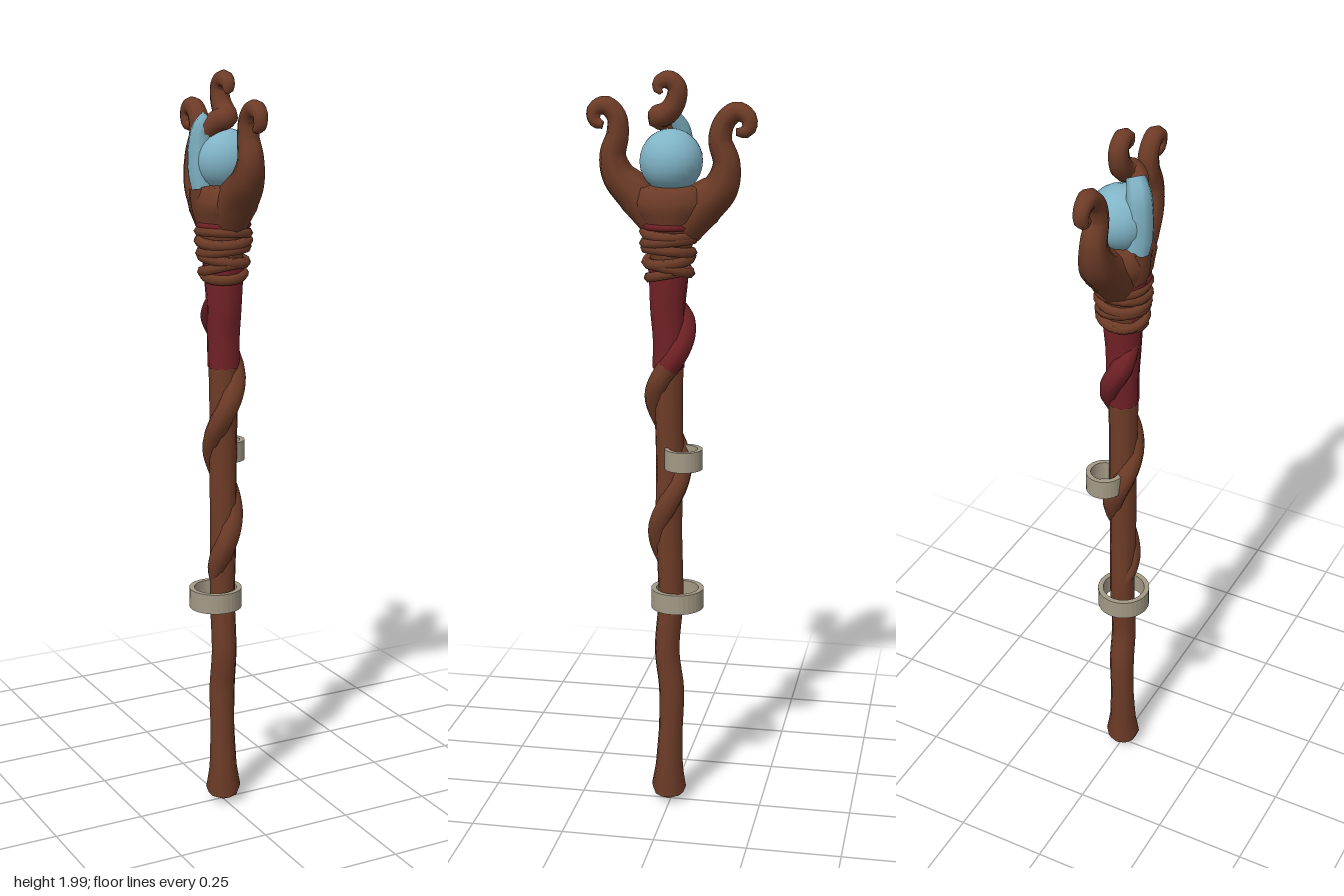
import * as THREE from 'three';

const mat = (name, color) => {
  const m = new THREE.MeshStandardMaterial({ color });
  m.name = name;
  return m;
};

// Tube through rows of [x, y, z, radius], radius blended along the path
function taperedTube(rows, segments, sides) {
  const curve = new THREE.CatmullRomCurve3(rows.map(r => new THREE.Vector3(r[0], r[1], r[2])));
  const geo = new THREE.TubeGeometry(curve, segments, 1, sides, false);
  const pos = geo.attributes.position;
  const v = new THREE.Vector3();
  for (let i = 0; i <= segments; i++) {
    const u = i / segments;
    const centre = curve.getPointAt(u);
    const t = curve.getUtoTmapping(u) * (rows.length - 1);
    const k = Math.min(Math.floor(t), rows.length - 2);
    const radius = THREE.MathUtils.lerp(rows[k][3], rows[k + 1][3], t - k);
    for (let j = 0; j <= sides; j++) {
      const n = i * (sides + 1) + j;
      v.fromBufferAttribute(pos, n).sub(centre).multiplyScalar(radius).add(centre);
      pos.setXYZ(n, v.x, v.y, v.z);
    }
  }
  geo.computeBoundingSphere();
  return geo;
}

// Flat-sided hollow band standing on its lower edge
function bandGeometry(radius, thickness, height) {
  const ring = new THREE.Shape().absarc(0, 0, radius, 0, Math.PI * 2);
  ring.holes.push(new THREE.Path().absarc(0, 0, radius - thickness, 0, Math.PI * 2, true));
  const geo = new THREE.ExtrudeGeometry(ring, { depth: height, bevelEnabled: false, curveSegments: 16 });
  return geo.rotateX(-Math.PI / 2);
}

export function createModel() {
  const group = new THREE.Group();
  const wood = mat('brown wood', 0x6e3c27);
  const cloth = mat('dark red cloth', 0x702126);
  const glass = mat('pale blue crystal', 0x80b4c6);
  const bone = mat('grey beige metal', 0xa39a86);
  const add = (name, geo, material) => {
    const mesh = new THREE.Mesh(geo, material);
    mesh.name = name;
    group.add(mesh);
    return mesh;
  };

  // Shaft with a knobbed foot
  add('shaft', taperedTube([
    [0, 0.008, 0.005, 0.002], [0, 0.012, 0.005, 0.028], [0, 0.045, 0.005, 0.049],
    [0, 0.11, 0.004, 0.038], [0, 0.22, 0, 0.033], [0, 0.34, -0.002, 0.035],
    [0, 0.45, 0.01, 0.034], [0, 0.6, 0, 0.034], [0, 0.8, 0.005, 0.036],
    [0, 1.0, 0.003, 0.037], [0, 1.15, 0.006, 0.038], [0, 1.25, 0.006, 0.04]
  ], 60, 10), wood);
  add('clothWrap', taperedTube([
    [0, 1.24, 0.006, 0.042], [0, 1.32, 0.004, 0.043], [0, 1.4, 0.008, 0.046],
    [0, 1.46, 0.006, 0.05], [0, 1.52, 0.005, 0.055]
  ], 12, 10), cloth);

  // Vine winding up the shaft, its top covered by the cloth
  const vine = (from, to) => {
    const rows = [];
    for (let i = 0; i <= 16; i++) {
      const y = THREE.MathUtils.lerp(from, to, i / 16);
      const a = (y - 0.78) / 0.37 * Math.PI * 2;
      const grow = (y - 0.6) / 0.8;
      const fade = Math.min(1, (y - 0.58) / 0.12, (1.47 - y) / 0.1);
      const r = 0.024 + 0.018 * grow;
      rows.push([Math.sin(a) * r * 0.75, y, Math.cos(a) * r + 0.004, 0.029 * Math.max(fade, 0.1)]);
    }
    return taperedTube(rows, 48, 8);
  };
  add('vine', vine(0.6, 1.25), wood);
  add('clothOverVine', vine(1.245, 1.46), cloth);

  // Loose bands around the shaft
  add('lowerBand', bandGeometry(0.071, 0.014, 0.054), bone).position.set(-0.013, 0.575, -0.016);
  add('upperBand', bandGeometry(0.05, 0.013, 0.054), bone).position.set(0.031, 0.977, -0.04);

  // Cord coils below the head
  const coils = [
    [1.487, 0.052, 0.2, 0.1], [1.503, 0.056, -0.22, 0.12], [1.525, 0.058, 0.1, -0.12],
    [1.548, 0.06, -0.08, 0.1], [1.572, 0.063, 0.1, 0.06], [1.593, 0.063, -0.06, -0.08]
  ];
  for (const [y, r, tiltX, tiltZ] of coils) {
    const coil = add('cordCoil', new THREE.TorusGeometry(r, 0.014, 6, 18).rotateX(Math.PI / 2), wood);
    coil.position.set(0, y, 0.005);
    coil.rotation.set(tiltX, 0, tiltZ);
  }
  add('redCord', new THREE.TorusGeometry(0.064, 0.009, 6, 18).rotateX(Math.PI / 2), cloth)
    .position.set(0, 1.612, 0.004);

  // Swollen head that cups the orb
  const cup = [[0.05, 1.5], [0.056, 1.56], [0.064, 1.61], [0.077, 1.645], [0.08, 1.675], [0.068, 1.71], [0.04, 1.715], [0, 1.7]]
    .map(p => new THREE.Vector2(p[0], p[1]));
  const head = new THREE.LatheGeometry(cup, 14);
  const hp = head.attributes.position;
  for (let i = 0; i < hp.count; i++) {
    const stretch = 1 + 0.35 * THREE.MathUtils.smoothstep(hp.getY(i), 1.6, 1.68);
    hp.setZ(i, hp.getZ(i) * stretch);
  }
  head.computeVertexNormals();
  add('head', head, wood);

  // Curling claws, front and back
  add('frontClaw', taperedTube([
    [0, 1.62, 0.03, 0.05], [0, 1.685, 0.085, 0.055], [0, 1.735, 0.135, 0.044], [0, 1.785, 0.15, 0.035],
    [0, 1.84, 0.137, 0.029], [0, 1.885, 0.14, 0.026], [0, 1.911, 0.168, 0.024],
    [0, 1.898, 0.197, 0.02], [0, 1.872, 0.196, 0.017], [0, 1.864, 0.178, 0.012], [0, 1.87, 0.172, 0.001]
  ], 48, 8), wood);
  add('backClaw', taperedTube([
    [0, 1.61, -0.03, 0.055], [0, 1.665, -0.08, 0.058], [0, 1.71, -0.128, 0.046], [0, 1.77, -0.143, 0.035],
    [0, 1.83, -0.126, 0.03], [0, 1.877, -0.139, 0.027], [0, 1.9, -0.17, 0.025],
    [0, 1.882, -0.199, 0.021], [0, 1.854, -0.196, 0.018], [0, 1.85, -0.173, 0.013], [0, 1.858, -0.167, 0.001]
  ], 48, 8), wood);

  // Side claw: brown root, crystal-coloured stem, brown curl over the orb
  add('sideClawRoot', taperedTube([
    [-0.02, 1.61, -0.01, 0.045], [-0.04, 1.66, -0.012, 0.042], [-0.05, 1.71, -0.014, 0.037]
  ], 10, 8), wood);
  add('sideClawStem', taperedTube([
    [-0.046, 1.69, -0.014, 0.03], [-0.052, 1.74, -0.014, 0.037], [-0.054, 1.8, -0.014, 0.036],
    [-0.05, 1.85, -0.01, 0.032], [-0.034, 1.885, 0.005, 0.024]
  ], 18, 8), glass);
  add('sideClawCurl', taperedTube([
    [-0.046, 1.845, 0.0, 0.022], [-0.03, 1.872, 0.022, 0.028], [-0.008, 1.883, 0.034, 0.03],
    [0, 1.893, 0.01, 0.029], [0, 1.92, -0.011, 0.027], [0, 1.957, -0.016, 0.025],
    [0, 1.976, 0.005, 0.023], [0, 1.965, 0.029, 0.019], [0, 1.948, 0.028, 0.013], [0, 1.945, 0.02, 0.001]
  ], 44, 8), wood);

  // Crystal orb
  add('orb', new THREE.SphereGeometry(0.081, 20, 14), glass).position.set(0.003, 1.775, -0.002);

  return group;
}
